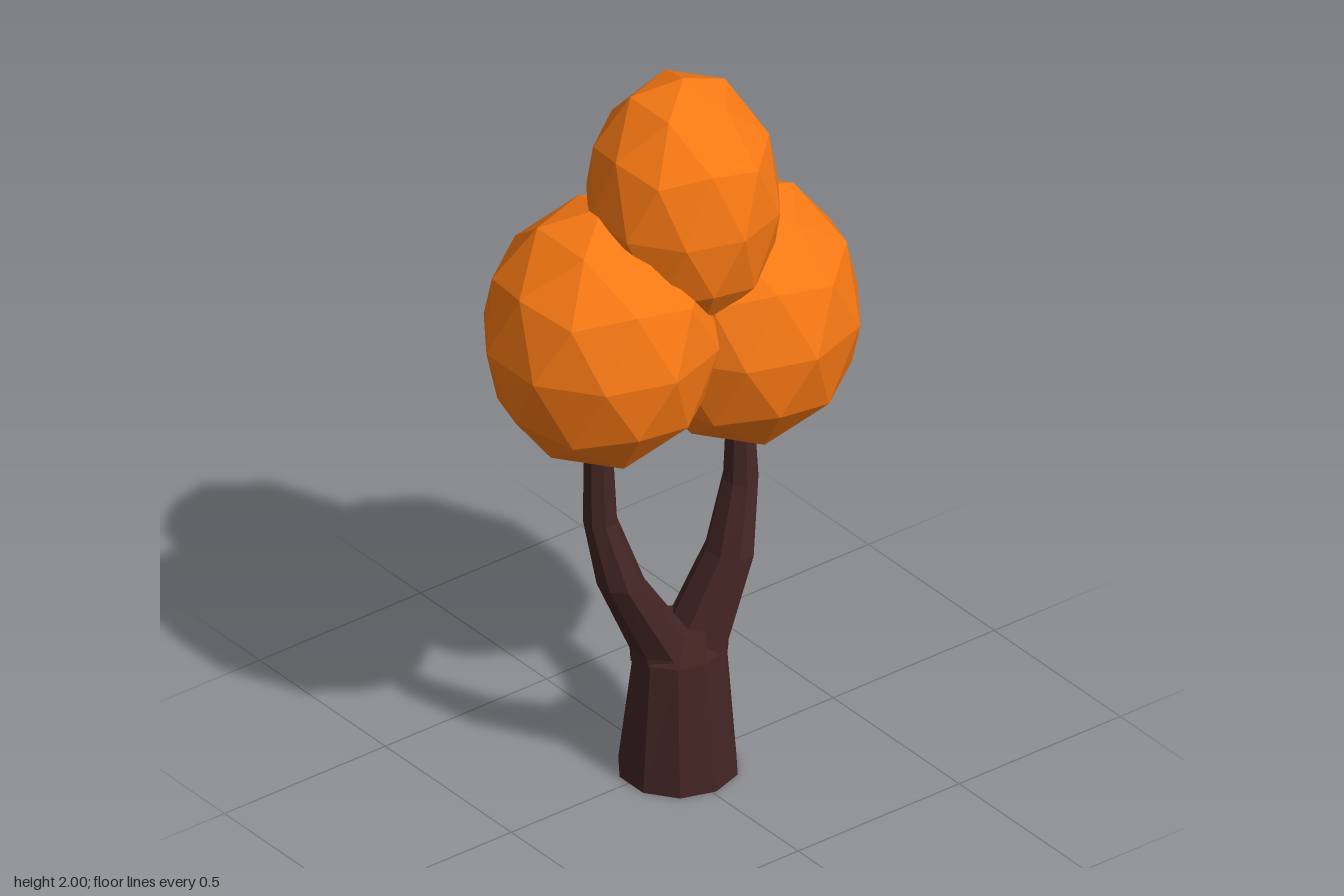
import * as THREE from 'three';

const bark = new THREE.MeshStandardMaterial({ color: 0x432624, flatShading: true });
const leaf = new THREE.MeshStandardMaterial({ color: 0xfb7a14, flatShading: true });

// Capped loft through horizontal oval rings: [x, y, z, radiusX, radiusZ]
function loft(name, rings, sides) {
  const pos = [], index = [];
  for (const [x, y, z, rx, rz] of rings) {
    for (let i = 0; i < sides; i++) {
      const a = ((i + 0.5) / sides) * Math.PI * 2;
      pos.push(x + rx * Math.cos(a), y, z + rz * Math.sin(a));
    }
  }
  const last = (rings.length - 1) * sides, bottom = rings.length * sides;
  for (const [x, y, z] of [rings[0], rings[rings.length - 1]]) pos.push(x, y, z);
  for (let i = 0; i < sides; i++) {
    const n = (i + 1) % sides;
    for (let r = 0; r < last; r += sides) {
      index.push(r + i, r + sides + i, r + n, r + n, r + sides + i, r + sides + n);
    }
    index.push(bottom, i, n, bottom + 1, last + n, last + i);
  }
  const geo = new THREE.BufferGeometry();
  geo.setAttribute('position', new THREE.Float32BufferAttribute(pos, 3));
  geo.setIndex(index);
  geo.computeVertexNormals();
  const mesh = new THREE.Mesh(geo, bark);
  mesh.name = name;
  return mesh;
}

// Faceted ball with a corner pointing straight up
function foliageGeometry() {
  const v = [0, 1, 0], f = [];
  const h = 1 / Math.sqrt(5), r = 2 * h;
  for (const [y, offset] of [[h, 0], [-h, 0.5]]) {
    for (let k = 0; k < 5; k++) {
      const a = ((k + offset) / 5) * Math.PI * 2;
      v.push(r * Math.cos(a), y, r * Math.sin(a));
    }
  }
  v.push(0, -1, 0);
  for (let k = 0; k < 5; k++) {
    const u = 1 + k, un = 1 + ((k + 1) % 5), l = u + 5, ln = un + 5;
    f.push(0, un, u, u, un, l, l, un, ln, 11, l, ln);
  }
  return new THREE.PolyhedronGeometry(v, f, 1, 1);
}

export function createModel() {
  const tree = new THREE.Group();
  tree.name = 'tree';

  // Trunk, narrowing into the fork
  tree.add(loft('trunk', [
    [0.01, 0, 0.01, 0.152, 0.152],
    [0, 0.36, 0.03, 0.124, 0.106],
    [0, 0.43, 0.03, 0.06, 0.085],
  ], 10));

  // Two bent branches
  tree.add(loft('rightBranch', [
    [-0.04, 0.34, 0.02, 0.083, 0.095],
    [-0.045, 0.38, 0.02, 0.083, 0.088],
    [-0.165, 0.6, 0.005, 0.058, 0.068],
    [-0.205, 0.78, -0.025, 0.042, 0.046],
    [-0.203, 1.05, -0.037, 0.034, 0.038],
  ], 8));
  tree.add(loft('leftBranch', [
    [0.04, 0.34, 0.035, 0.085, 0.095],
    [0.045, 0.38, 0.035, 0.083, 0.092],
    [0.14, 0.6, 0.05, 0.057, 0.072],
    [0.185, 0.78, 0.035, 0.043, 0.052],
    [0.197, 1.0, 0.018, 0.03, 0.04],
  ], 8));

  // Three overlapping clumps of leaves
  const ball = foliageGeometry();
  for (const [name, x, y, z, r, ry] of [
    ['rightFoliage', -0.2, 1.32, -0.025, 0.3, 0.357],
    ['leftFoliage', 0.2, 1.256, 0.023, 0.3, 0.355],
    ['topFoliage', 0.01, 1.65, 0.031, 0.247, 0.35],
  ]) {
    const clump = new THREE.Mesh(ball, leaf);
    clump.name = name;
    clump.position.set(x, y, z);
    clump.scale.set(r, ry, r);
    tree.add(clump);
  }
  return tree;
}
